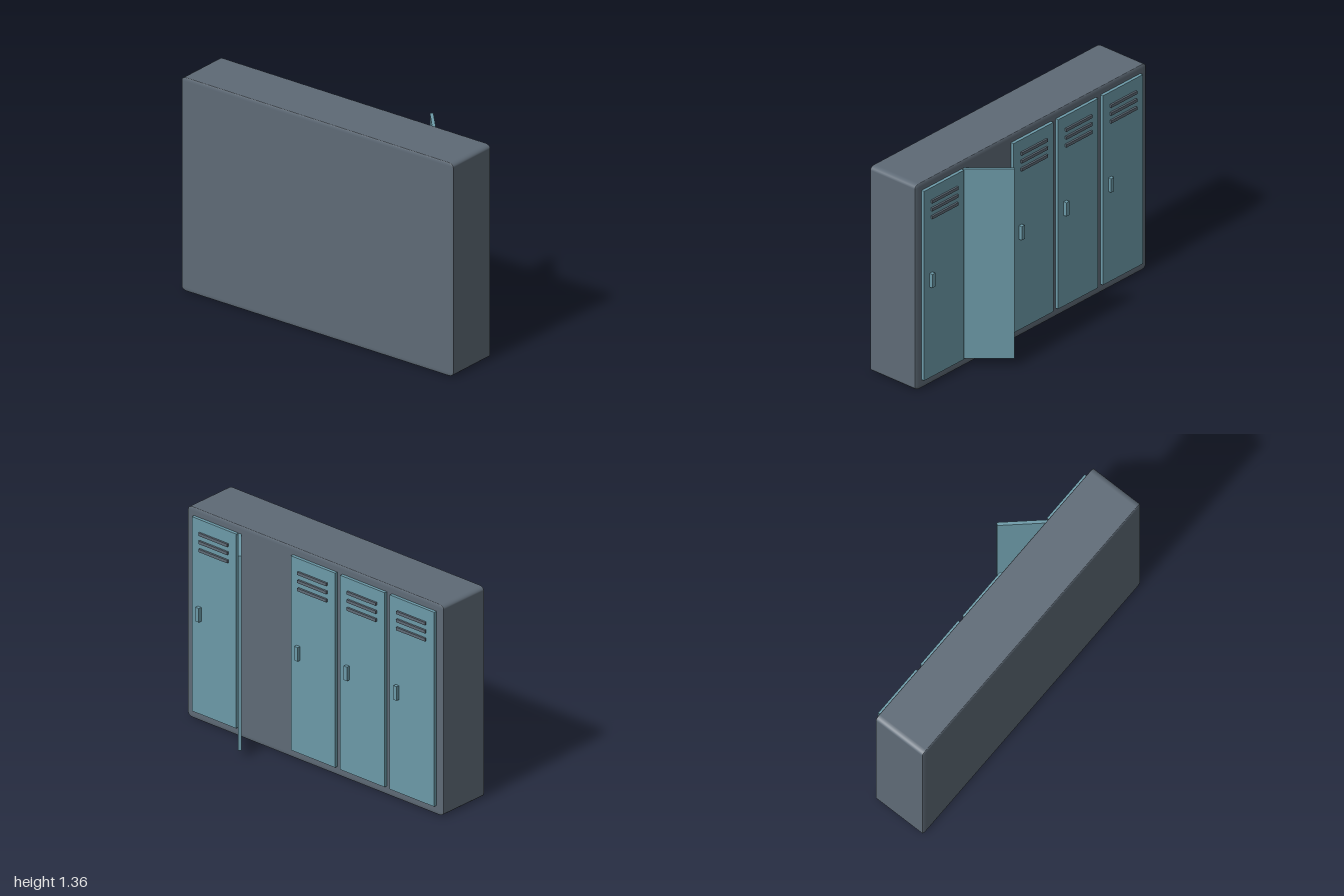
import * as THREE from 'three';
import { RoundedBoxGeometry } from 'three/addons/geometries/RoundedBoxGeometry.js';

const HEIGHT = 1.355, BACK = -0.064, FRONT = 0.293; // cabinet faces
const DOOR_W = 0.347, DOOR_H = 1.25, DOOR_T = 0.02, DOOR_Y = 0.68;
const PITCH = 0.387; // spacing of the five lockers

export function createModel() {
  const steel = new THREE.MeshStandardMaterial({ color: 0x5e6a76 });
  steel.name = 'slate grey steel';
  const teal = new THREE.MeshStandardMaterial({ color: 0x6c9aa8 });
  teal.name = 'teal door paint';

  const model = new THREE.Group();
  model.name = 'lockers';

  const box = (name, parent, material, size, position) => {
    const mesh = new THREE.Mesh(new THREE.BoxGeometry(...size), material);
    mesh.name = name;
    mesh.position.set(...position);
    parent.add(mesh);
    return mesh;
  };

  // Cabinet with softened edges, stretched from a rounded cube
  const cabinetGeometry = new RoundedBoxGeometry(1, 1, 1, 3, 0.018);
  cabinetGeometry.scale(2, HEIGHT, FRONT - BACK);
  const cabinet = new THREE.Mesh(cabinetGeometry, steel);
  cabinet.name = 'cabinet';
  cabinet.position.set(0, HEIGHT / 2, (FRONT + BACK) / 2);
  model.add(cabinet);

  // Closed doors, each with three vent slats and a handle
  for (const slot of [-2, -1, 0, 2]) {
    const door = new THREE.Group();
    door.name = 'closedDoor';
    door.position.set(slot * PITCH, 0, BACK);
    box('doorPanel', door, teal, [DOOR_W, DOOR_H, DOOR_T], [0, DOOR_Y, -DOOR_T / 2]);
    for (const y of [1.215, 1.163, 1.111]) {
      box('ventSlat', door, steel, [0.225, 0.019, 0.012], [0, y, -DOOR_T - 0.006]);
    }
    box('handle', door, teal, [0.026, 0.09, 0.022], [0.113, 0.7, -DOOR_T - 0.011]);
    model.add(door);
  }

  // Plain door standing open, its hinge edge sunk into the cabinet
  const hinge = new THREE.Vector2(0.592, -0.063);
  const tip = new THREE.Vector2(0.389, -0.286);
  const open = box('openDoor', model, teal, [hinge.distanceTo(tip), DOOR_H, DOOR_T],
    [(hinge.x + tip.x) / 2, DOOR_Y, (hinge.y + tip.y) / 2]);
  open.rotation.y = -Math.atan2(hinge.y - tip.y, hinge.x - tip.x);

  return model;
}
